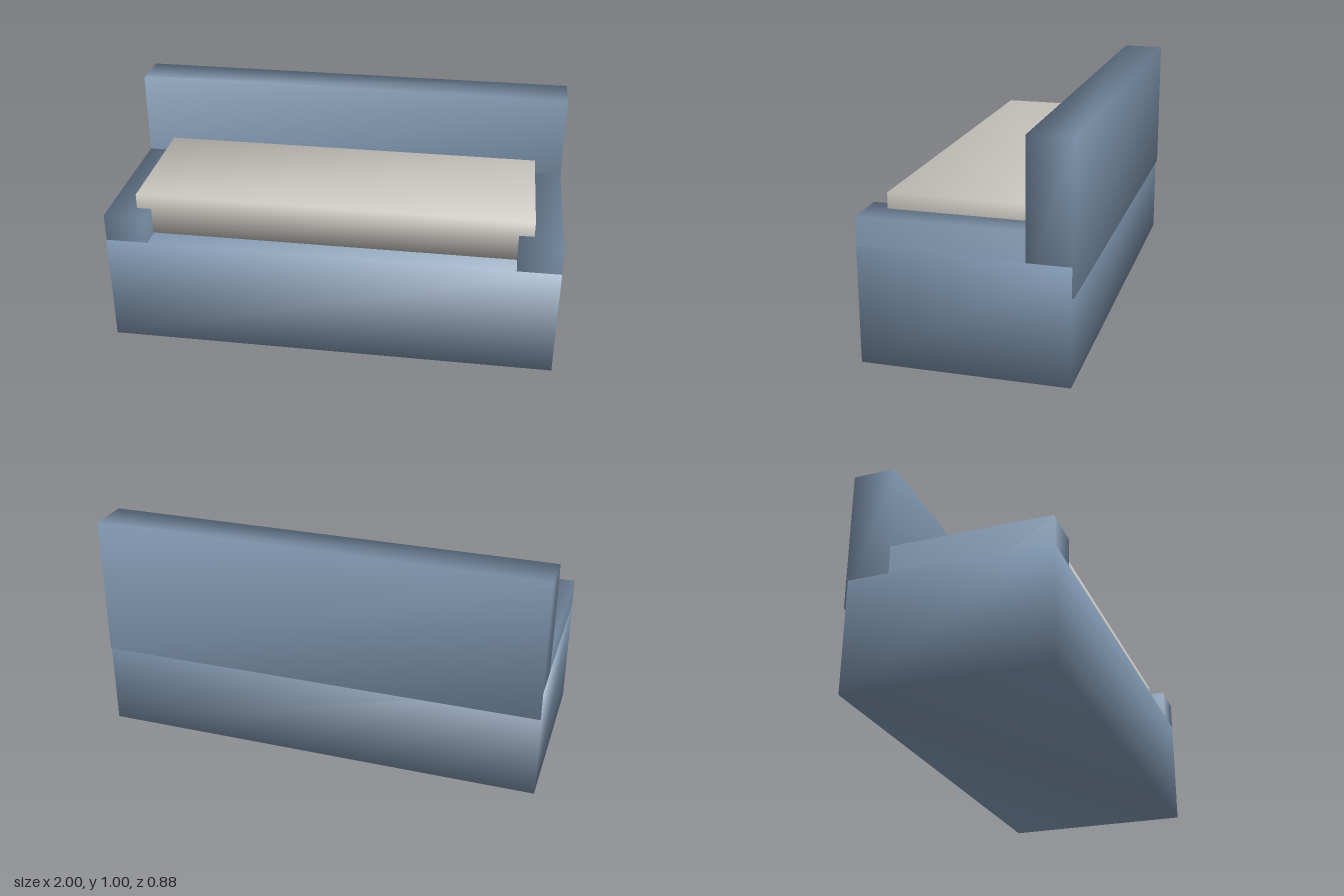
import * as THREE from 'three';
import { mergeVertices } from 'three/addons/utils/BufferGeometryUtils.js';

const fabric = new THREE.MeshStandardMaterial({ color: 0x7c93ac });
const cushionFabric = new THREE.MeshStandardMaterial({ color: 0xc8c4be });

// Box between two corners, with shared corners so the shading runs softly over the edges
function softBox(name, min, max, material) {
  const size = max.map((v, i) => v - min[i]);
  let geometry = new THREE.BoxGeometry(...size);
  geometry.deleteAttribute('normal');
  geometry.deleteAttribute('uv');
  geometry = mergeVertices(geometry);
  geometry.computeVertexNormals();
  const mesh = new THREE.Mesh(geometry, material);
  mesh.name = name;
  mesh.position.set(...min.map((v, i) => (v + max[i]) / 2));
  return mesh;
}

export function createModel() {
  const sofa = new THREE.Group();
  sofa.name = 'sofa';

  // Solid base down to the floor
  sofa.add(softBox('base', [-1, 0, -0.433], [1, 0.5, 0.441], fabric));

  // Backrest, overhanging slightly behind the base
  sofa.add(softBox('backrest', [-0.9995, 0.375, -0.441], [0.9995, 1, -0.252], fabric));

  // Low armrests, a hair inside the base
  sofa.add(softBox('leftArmrest', [0.81, 0.001, -0.432], [0.999, 0.625, 0.44], fabric));
  sofa.add(softBox('rightArmrest', [-0.999, 0.001, -0.432], [-0.81, 0.625, 0.44], fabric));

  // Seat cushion, lapping over the armrests
  sofa.add(softBox('seatCushion', [-0.875, 0.505, -0.26], [0.875, 0.692, 0.354], cushionFabric));

  return sofa;
}
